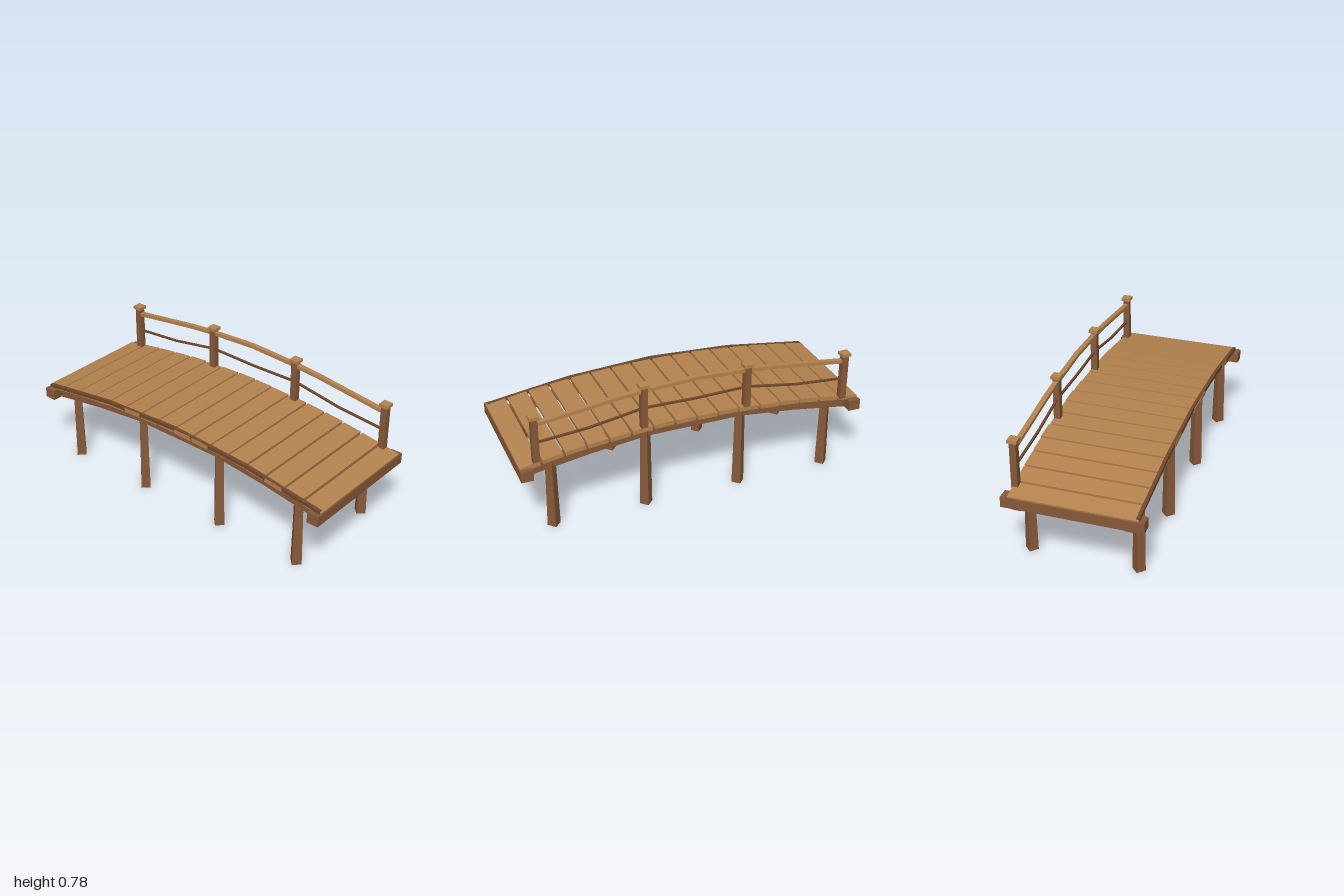
import * as THREE from 'three';

const mat = (name, color) => {
  const m = new THREE.MeshStandardMaterial({ color });
  m.name = name;
  return m;
};

export function createModel() {
  const bridge = new THREE.Group();
  bridge.name = 'footbridge';
  const plankWood = mat('light plank wood', 0xb5834f);
  const beamWood = mat('brown beam wood', 0x875a39);
  const darkWood = mat('dark trim wood', 0x70492c);

  const add = (name, geometry, material, x = 0, y = 0, z = 0) => {
    const mesh = new THREE.Mesh(geometry, material);
    mesh.name = name;
    mesh.position.set(x, y, z);
    bridge.add(mesh);
    return mesh;
  };
  const box = (name, material, w, h, d, x, y, z) =>
    add(name, new THREE.BoxGeometry(w, h, d), material, x, y, z);

  // Bent bar: a centre line in x,y thickened by height and extruded along z
  const bar = (name, material, points, height, depth, z) => {
    const upper = points.map(([x, y]) => new THREE.Vector2(x, y + height / 2));
    const lower = points.map(([x, y]) => new THREE.Vector2(x, y - height / 2)).reverse();
    const geo = new THREE.ExtrudeGeometry(new THREE.Shape([...lower, ...upper]), { depth, bevelEnabled: false });
    geo.translate(0, 0, -depth / 2);
    return add(name, geo, material, 0, 0, z);
  };
  // Mirrors the right half of a centre line to the left
  const mirrored = (half) => [
    ...half.filter(([x]) => x > 0).map(([x, y]) => [-x, y]).reverse(), ...half];

  let seed = 7;
  const jitter = () => {
    seed = (seed * 16807) % 2147483647;
    return seed / 2147483647 - 0.5;
  };

  // Deck planks following the arch, with slightly uneven ends
  const deckTop = (x) => 0.528 - 0.095 * x * x;
  const count = 16, pitch = 2 / count;
  for (let i = 0; i < count; i++) {
    const x = -1 + pitch * (i + 0.5);
    const plank = box('plank', plankWood, 0.113, 0.025, 0.708 + jitter() * 0.016,
      x, deckTop(x) - 0.0125, jitter() * 0.008);
    plank.rotation.z = Math.atan(-0.19 * x);
    plank.rotation.x = jitter() * 0.006;
  }

  // Arched side beams
  const beamLine = mirrored([[0.27, 0.475], [0.6, 0.439], [0.985, 0.379]]);
  for (const z of [-0.3, 0.3]) bar('sideBeam', beamWood, beamLine, 0.053, 0.046, z);

  // Edge strip along the open side
  bar('edgeStrip', darkWood, mirrored([[0, 0.528], [0.5, 0.501], [0.985, 0.432]]), 0.02, 0.018, 0.347);

  for (const s of [-1, 1]) {
    // Cross beams at the ends and between the middle legs
    box('endBeam', beamWood, 0.068, 0.06, 0.77, s * 0.963, 0.395, 0);
    box('crossBeam', beamWood, 0.04, 0.04, 0.6, s * 0.28, 0.472, 0);
    // Tapered square legs set corner-on
    for (const [x, top] of [[0.815, 0.405], [0.28, 0.495]]) {
      for (const z of [-0.3, 0.3]) {
        const geo = new THREE.CylinderGeometry(0.03, 0.037, top, 4).toNonIndexed();
        geo.computeVertexNormals();
        add('leg', geo, beamWood, s * x, top / 2, z);
      }
    }
    // Railing posts with caps
    for (const [x, bottom, top] of [[0.9, 0.437, 0.707], [0.3, 0.5, 0.762]]) {
      box('railingPost', beamWood, 0.037, top - bottom, 0.037, s * x, (top + bottom) / 2, -0.335);
      box('postCap', plankWood, 0.054, 0.018, 0.054, s * x, top + 0.009, -0.335);
    }
  }

  // Handrail and sagging lower rail
  bar('handrail', plankWood,
    mirrored([[0, 0.756], [0.3, 0.742], [0.46, 0.728], [0.9, 0.672]]), 0.02, 0.028, -0.335);
  bar('lowerRail', darkWood,
    mirrored([[0, 0.629], [0.3, 0.635], [0.6, 0.585], [0.9, 0.56]]), 0.011, 0.012, -0.335);

  return bridge;
}
